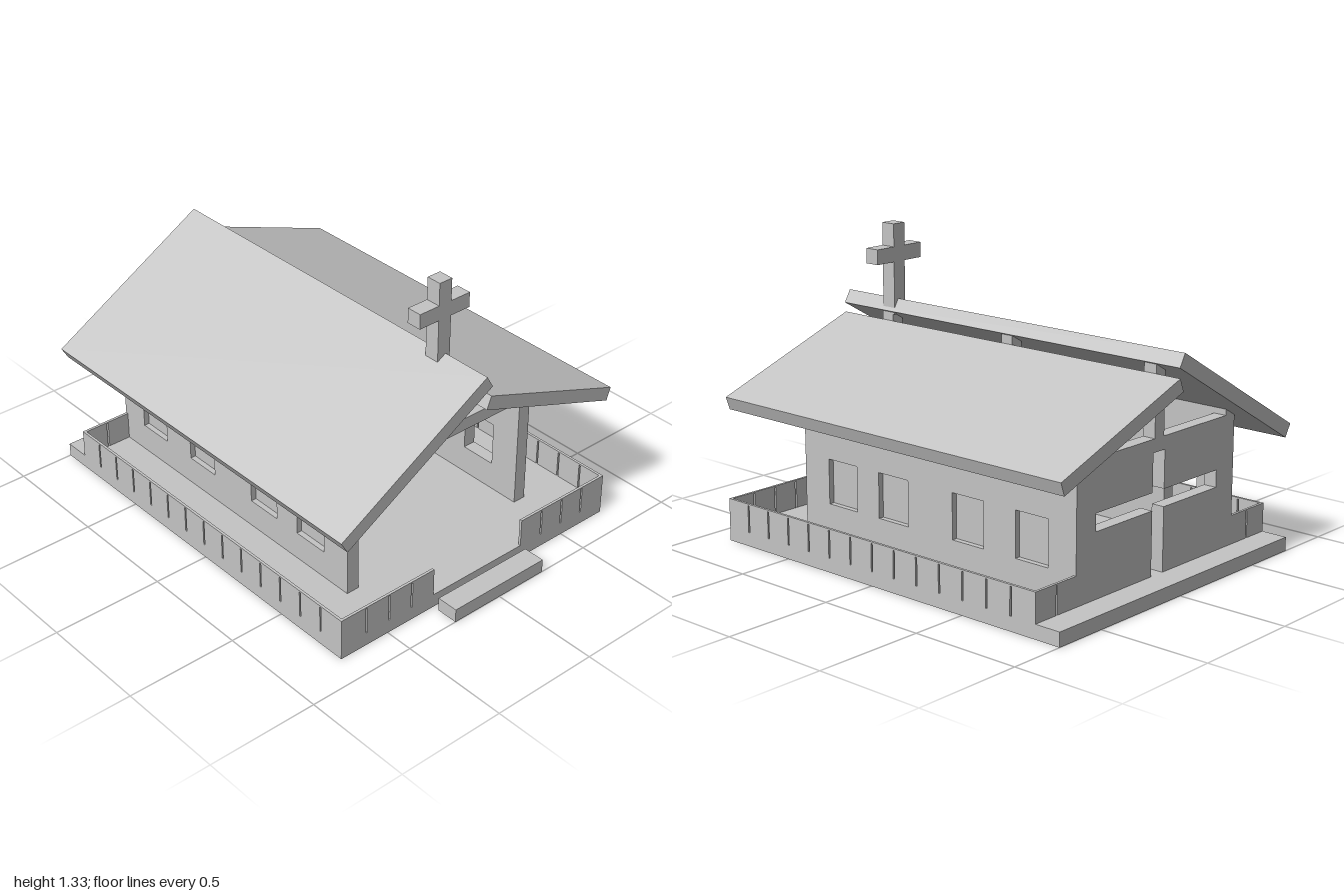
import * as THREE from 'three';

export function createModel() {
  const model = new THREE.Group();
  model.name = 'chapel';
  const stone = new THREE.MeshStandardMaterial({ color: 0xc4c4c4 });
  stone.name = 'plain grey';

  const add = (name, geometry, parent = model) => {
    const mesh = new THREE.Mesh(geometry, stone);
    mesh.name = name;
    parent.add(mesh);
    return mesh;
  };
  // Box given by its limits on each axis
  const box = (name, x0, x1, y0, y1, z0, z1, parent) => {
    const g = new THREE.BoxGeometry(x1 - x0, y1 - y0, z1 - z0);
    g.translate((x0 + x1) / 2, (y0 + y1) / 2, (z0 + z1) / 2);
    return add(name, g, parent);
  };
  const shapeOf = (pts) => new THREE.Shape(pts.map(([x, y]) => new THREE.Vector2(x, y)));
  const extrude = (shape, depth) => new THREE.ExtrudeGeometry(shape, { depth, bevelEnabled: false });

  // Platform and front step
  box('platform', -0.747, 0.747, 0, 0.062, -1, 0.87);
  box('frontStep', -0.25, 0.25, 0, 0.062, 0.9, 1);

  // Side walls with four recessed windows each
  const windows = [[0.32, 0.49], [0.02, 0.19], [-0.4, -0.23], [-0.74, -0.57]];
  const winLow = 0.19, winHigh = 0.39;
  for (const side of [-1, 1]) {
    const top = side < 0 ? 0.665 : 0.685;
    const wall = shapeOf([[-0.88, 0.06], [0.635, 0.06], [0.635, top], [-0.88, top]]);
    for (const [a, b] of windows) {
      wall.holes.push(new THREE.Path([
        new THREE.Vector2(a, winLow), new THREE.Vector2(a, winHigh),
        new THREE.Vector2(b, winHigh), new THREE.Vector2(b, winLow),
      ]));
      // Pane faces outwards, set into the wall
      const pane = new THREE.PlaneGeometry(b - a, winHigh - winLow);
      pane.rotateY(side * Math.PI / 2);
      pane.translate(side * 0.485, (winLow + winHigh) / 2, (a + b) / 2);
      add('windowPane', pane);
    }
    const g = extrude(wall, 0.06);
    g.rotateY(-Math.PI / 2);
    g.translate(side > 0 ? 0.51 : -0.45, 0, 0);
    add('sideWall', g);

    // Half of the back wall, leaving a cross-shaped opening in the middle
    const half = shapeOf([
      [0.0375, 0.06], [0.45, 0.06], [0.45, 0.58], [0.0375, 0.58],
      [0.0375, 0.415], [0.3925, 0.415], [0.3925, 0.34], [0.0375, 0.34],
    ].map(([x, y]) => [side * x, y]));
    const back = extrude(half, 0.06);
    back.translate(0, 0, -0.88);
    add('backWall', back);
  }

  // Tie beams with king posts
  for (const z of [0.605, -0.095, -0.85]) {
    box('tieBeam', -0.45, 0.45, 0.58, 0.637, z - 0.03, z + 0.03);
    box('kingPost', -0.03, 0.03, 0.637, 0.94, z - 0.03, z + 0.03);
  }

  // Two roof slabs of different pitch with a gap at the ridge
  const slabs = {
    highRoof: [[-0.715, 0.51], [0.037, 0.945], [0.005, 1.0], [-0.747, 0.565]],
    lowRoof: [[0.01, 0.845], [0.727, 0.585], [0.747, 0.642], [0.032, 0.902]],
  };
  for (const [name, pts] of Object.entries(slabs)) {
    const g = extrude(shapeOf(pts), 1.87);
    g.translate(0, 0, -1);
    add(name, g);
  }

  // Ridge cross
  const cross = new THREE.Group();
  cross.name = 'ridgeCross';
  model.add(cross);
  box('crossUpright', -0.038, 0.028, 0.93, 1.333, 0.565, 0.634, cross);
  box('crossArm', -0.139, -0.038, 1.165, 1.232, 0.565, 0.634, cross);
  box('crossArm', 0.028, 0.128, 1.165, 1.232, 0.565, 0.634, cross);

  // Fence: boards split by narrow slits under a thin top rail
  const fence = new THREE.Group();
  fence.name = 'fence';
  model.add(fence);
  const fenceRun = (from, to, count, place) => {
    const step = (to - from) / count;
    for (let i = 0; i < count; i++) {
      const a = from + i * step + (i > 0 ? 0.004 : 0);
      const b = from + (i + 1) * step - (i < count - 1 ? 0.004 : 0);
      place('fenceBoard', a, b, 0.06, 0.183);
    }
    place('fenceRail', from, to, 0.183, 0.19);
  };
  for (const side of [-1, 1]) {
    const outer = side * 0.747, inner = side * 0.735;
    fenceRun(-0.88, 0.87, 14, (n, a, b, y0, y1) =>
      box(n, Math.min(outer, inner), Math.max(outer, inner), y0, y1, a, b, fence));
    const across = (z0, z1) => (n, a, b, y0, y1) =>
      box(n, Math.min(side * a, side * b), Math.max(side * a, side * b), y0, y1, z0, z1, fence);
    fenceRun(0.25, 0.735, 4, across(0.858, 0.87));
    fenceRun(0.51, 0.735, 2, across(-0.88, -0.868));
  }

  return model;
}
